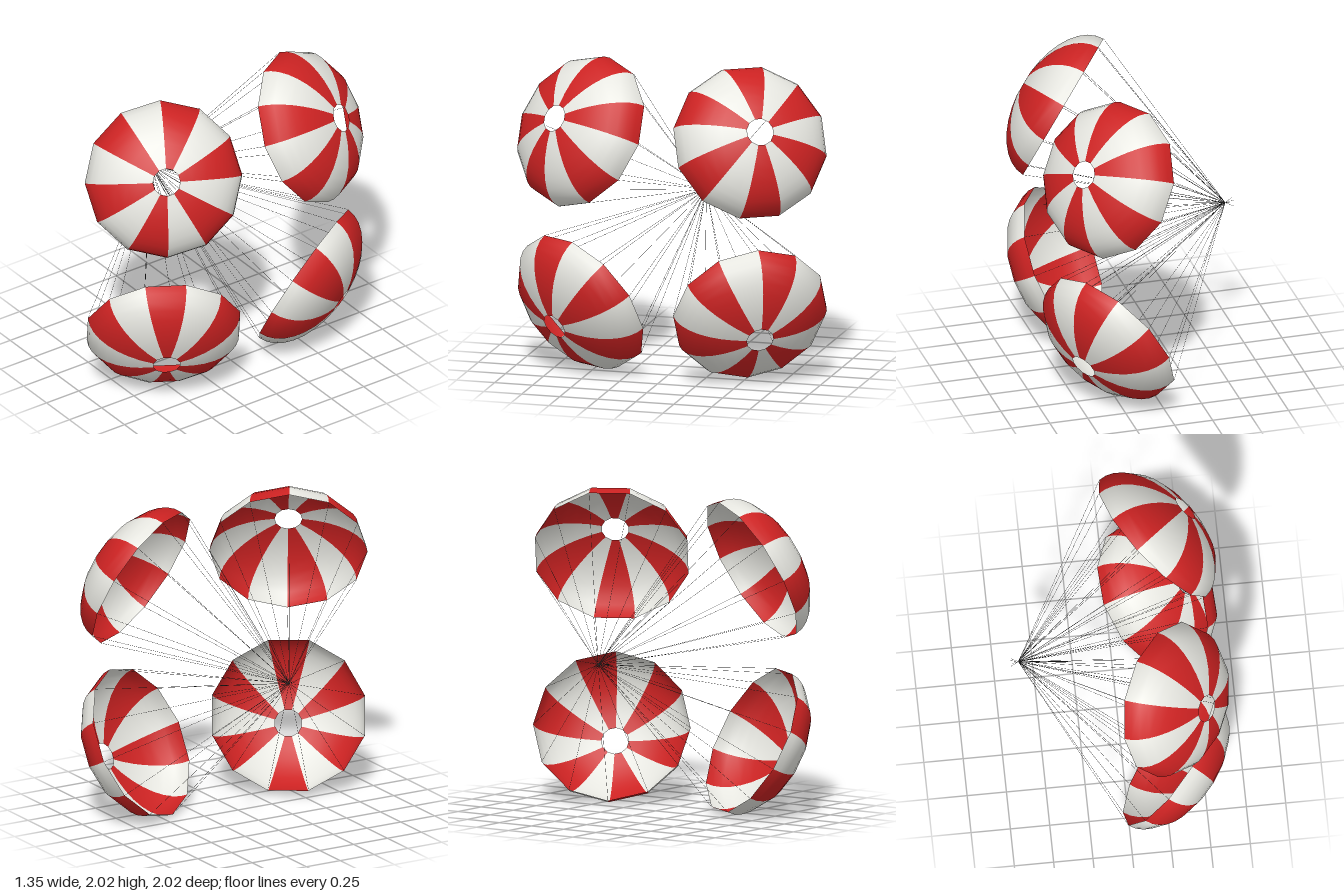
import * as THREE from 'three';
import { mergeGeometries } from 'three/addons/utils/BufferGeometryUtils.js';

const GORES = 12;
const STEP = (Math.PI * 2) / GORES;
const PHASE = THREE.MathUtils.degToRad(8);
const RIM_RADIUS = 0.5, HEIGHT = 0.295, HOLE_RADIUS = 0.087;
const RIM_DISTANCE = 1.19; // from the knot to the rim plane

const red = new THREE.MeshStandardMaterial({ color: 0xcc2222, side: THREE.DoubleSide });
const white = new THREE.MeshStandardMaterial({ color: 0xe6e6e0, side: THREE.DoubleSide });
const cord = new THREE.MeshStandardMaterial({ color: 0x444444 });

// Thin straight cord between two points
function cordGeometry(a, b) {
  const dir = b.clone().sub(a);
  const geo = new THREE.CylinderGeometry(0.001, 0.001, dir.length(), 3, 1);
  geo.applyQuaternion(new THREE.Quaternion().setFromUnitVectors(new THREE.Vector3(0, 1, 0), dir.normalize()));
  const mid = a.clone().add(b).multiplyScalar(0.5);
  return geo.translate(mid.x, mid.y, mid.z);
}

// One parachute along local +y, knot at the origin
function makeParachute() {
  const chute = new THREE.Group();

  // Elliptical canopy profile from the rim up to the vent hole
  const profile = [];
  const end = Math.acos(HOLE_RADIUS / RIM_RADIUS);
  for (let i = 0; i <= 8; i++) {
    const t = (end * i) / 8;
    profile.push(new THREE.Vector2(RIM_RADIUS * Math.cos(t), RIM_DISTANCE + HEIGHT * Math.sin(t)));
  }

  const cords = [];
  const knot = new THREE.Vector3();
  for (let i = 0; i < GORES; i++) {
    // Alternating gores
    const start = PHASE + i * STEP;
    const gore = new THREE.Mesh(new THREE.LatheGeometry(profile, 1, start, STEP), i % 2 ? red : white);
    gore.name = i % 2 ? 'redGore' : 'whiteGore';
    chute.add(gore);
    // Suspension line to each rim corner
    cords.push(cordGeometry(knot, new THREE.Vector3(
      RIM_RADIUS * Math.sin(start), RIM_DISTANCE, RIM_RADIUS * Math.cos(start))));
  }
  // Short loose end behind the knot
  cords.push(cordGeometry(new THREE.Vector3(0, -0.055, -0.01), knot));
  const lines = new THREE.Mesh(mergeGeometries(cords), cord);
  lines.name = 'suspensionLines';
  chute.add(lines);
  return chute;
}

export function createModel() {
  const model = new THREE.Group();
  model.name = 'parachuteCluster';

  // Canopy axis leans out from +x towards +y and +z
  const axis = new THREE.Vector3(0.763, 0.457, 0.457).normalize();
  const side = new THREE.Vector3(0, 1, -1).normalize();
  const inward = side.clone().cross(axis);
  const tilt = new THREE.Matrix4().makeBasis(side, axis, inward);

  // Four parachutes, turned by quarter turns about the x axis
  for (let k = 0; k < 4; k++) {
    const chute = makeParachute();
    chute.name = 'parachute' + (k + 1);
    const turn = new THREE.Matrix4().makeRotationX((k * Math.PI) / 2);
    chute.quaternion.setFromRotationMatrix(turn.multiply(tilt));
    chute.position.set(-0.625, 1, 0);
    model.add(chute);
  }
  return model;
}
